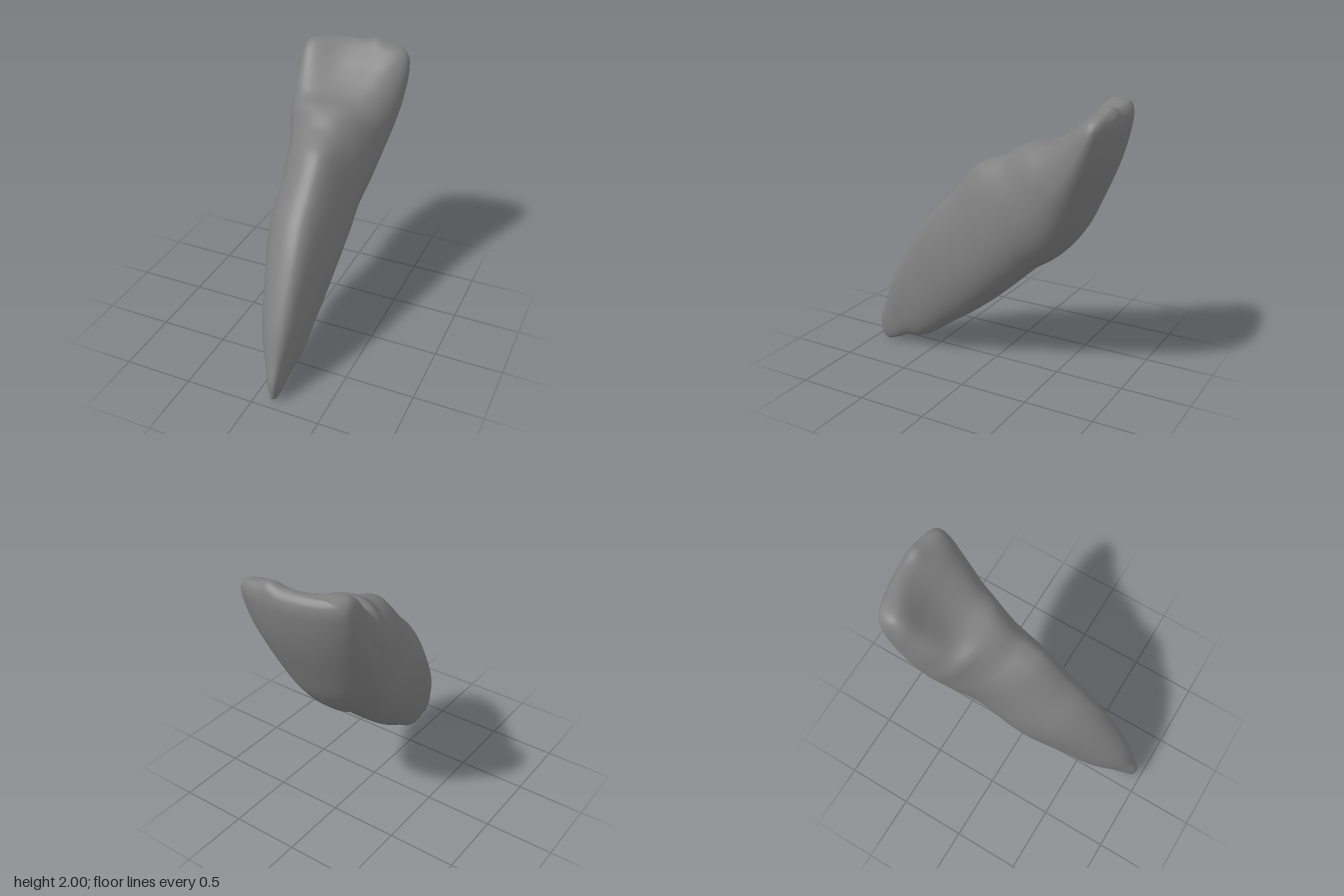
import * as THREE from 'three';

// Stations from root tip to biting edge:
// [zFront, yFront, zBack, yBack, xMin, xMax]
const STATIONS = [
  [0.94, 0.025, 0.88, 0.0, 0.115, 0.15],
  [0.955, 0.16, 0.8, 0.03, 0.08, 0.175],
  [0.9, 0.32, 0.7, 0.07, 0.03, 0.19],
  [0.85, 0.47, 0.6, 0.08, -0.02, 0.212],
  [0.78, 0.62, 0.5, 0.125, -0.065, 0.228],
  [0.68, 0.8, 0.36, 0.225, -0.11, 0.24],
  [0.56, 0.99, 0.2, 0.33, -0.165, 0.255],
  [0.43, 1.15, 0.04, 0.45, -0.215, 0.265],
  [0.3, 1.28, -0.1, 0.57, -0.238, 0.275],
  [0.19, 1.41, -0.22, 0.68, -0.247, 0.283],
  [0.1, 1.5, -0.34, 0.79, -0.26, 0.285],
  [0.01, 1.545, -0.46, 0.87, -0.285, 0.295],
  [-0.1, 1.585, -0.55, 0.95, -0.315, 0.31],
  [-0.2, 1.65, -0.62, 1.03, -0.34, 0.325],
  [-0.29, 1.685, -0.7, 1.15, -0.37, 0.345],
  [-0.42, 1.69, -0.77, 1.3, -0.39, 0.37],
  [-0.53, 1.735, -0.83, 1.44, -0.405, 0.39],
  [-0.64, 1.81, -0.88, 1.57, -0.408, 0.402],
  [-0.73, 1.885, -0.92, 1.71, -0.408, 0.405],
  [-0.8, 1.94, -0.945, 1.85, -0.39, 0.388],
  [-0.84, 1.965, -0.94, 1.92, -0.355, 0.34],
  [-0.87, 1.975, -0.92, 1.955, -0.31, 0.275],
  [-0.885, 1.977, -0.9, 1.972, -0.26, 0.2],
];
const SIDES = 72, STEPS = 5;
const { smoothstep, clamp } = THREE.MathUtils;

// Catmull-Rom interpolation of all station values
function stationAt(t) {
  const last = STATIONS.length - 1;
  const i = Math.min(Math.floor(t), last - 1), f = t - i;
  const at = (k) => STATIONS[clamp(k, 0, last)];
  const [a, b, c, d] = [at(i - 1), at(i), at(i + 1), at(i + 2)];
  return b.map((_, k) => b[k] + 0.5 * f * (c[k] - a[k]
    + f * (2 * a[k] - 5 * b[k] + 4 * c[k] - d[k] + f * (3 * (b[k] - c[k]) + d[k] - a[k]))));
}

const power = (v, e) => Math.sign(v) * Math.abs(v) ** e;

// One cross-section: flat-sided wedge in the root, dished box in the crown
function section(t) {
  const [zf, yf, zb, yb, x0, x1] = stationAt(t);
  const crown = smoothstep(t, 9, 16);
  const dish = smoothstep(t, 11.5, 17) * (1 - smoothstep(t, 18, 21.5));
  const edge = smoothstep(t, 18, 21);
  const wedge = 0.34 * smoothstep(t, 3, 10) * (1 - 0.75 * smoothstep(t, 14, 19));
  const points = [];
  for (let j = 0; j < SIDES; j++) {
    const a = (j / SIDES) * Math.PI * 2;
    const p = power(Math.cos(a), 0.87), s = power(Math.sin(a), 0.87);
    const v = (p + 1) / 2;
    // inner side narrower than the outer one, its crest leaning to +x
    const skew = 0.05 * v * v * (1 - s * s) * (1 - crown) * Math.min(1, t / 6);
    const x = (x0 + x1) / 2 + ((x1 - x0) / 2) * s * (1 + wedge * (0.19 - v * v)) + skew;
    // side ridges around the hollow inner face, higher on the -x side
    const ridge = (0.1 - 0.16 * x) * dish * Math.max(0, p) * s * s;
    const twist = (-0.08 * x + 0.27 * x * x) * crown;
    const bump = edge * 0.024 * Math.exp(-(((x - 0.13) / 0.06) ** 2));
    points.push(x,
      yb + (yf - yb) * v + ridge + bump,
      zb + (zf - zb) * v + ridge + twist);
  }
  return points;
}

function toothGeometry() {
  const rings = (STATIONS.length - 1) * STEPS;
  const positions = [], index = [];
  for (let i = 0; i <= rings; i++) positions.push(...section(i / STEPS));
  for (let i = 0; i < rings; i++) {
    for (let j = 0; j < SIDES; j++) {
      const a = i * SIDES + j, b = i * SIDES + (j + 1) % SIDES;
      index.push(a, b, a + SIDES, b, b + SIDES, a + SIDES);
    }
  }
  // strips from inner to outer side close the root tip and the biting edge
  const top = rings * SIDES, quarter = SIDES / 4;
  for (let j = 0; j < SIDES / 2; j++) {
    const [a, b, c, d] = [j, j + 1, -j - 1, -j].map((q) => (q + quarter + SIDES) % SIDES);
    index.push(a, c, b, a, d, c);
    index.push(top + a, top + b, top + c, top + a, top + c, top + d);
  }
  const geometry = new THREE.BufferGeometry();
  geometry.setAttribute('position', new THREE.Float32BufferAttribute(positions, 3));
  geometry.setIndex(index);
  geometry.computeVertexNormals();
  return geometry;
}

export function createModel() {
  const group = new THREE.Group();
  group.name = 'incisorTooth';
  const tooth = new THREE.Mesh(toothGeometry(), new THREE.MeshStandardMaterial({ color: 0x808080 }));
  tooth.name = 'crownAndRoot';
  group.add(tooth);
  return group;
}
